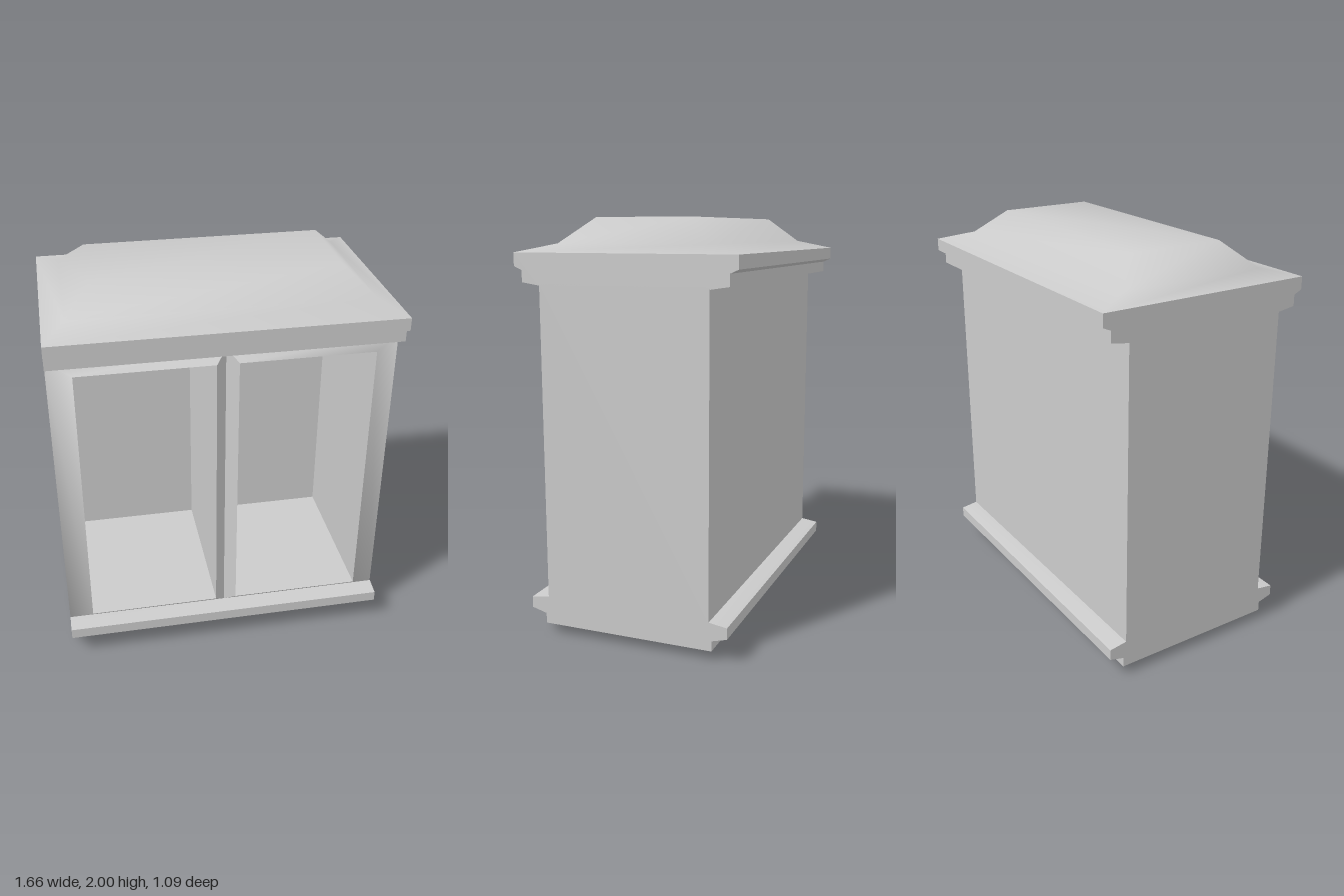
import * as THREE from 'three';
import { toCreasedNormals } from 'three/addons/utils/BufferGeometryUtils.js';

const material = new THREE.MeshStandardMaterial({ color: 0xcccccc });
const HALF = 0.83; // half width of the cabinet

// Joins rectangles [x0, x1, y0, y1, z] in order; caps close the first or last one.
function loft(rings, capStart, capEnd) {
  const pos = [], index = [];
  for (const [x0, x1, y0, y1, z] of rings) pos.push(x0, y0, z, x1, y0, z, x1, y1, z, x0, y1, z);
  for (let k = 0; k < rings.length - 1; k++) {
    for (let i = 0; i < 4; i++) {
      const a = k * 4 + i, b = k * 4 + (i + 1) % 4;
      index.push(a, b, b + 4, a, b + 4, a + 4);
    }
  }
  const e = (rings.length - 1) * 4;
  if (capStart) index.push(0, 2, 1, 0, 3, 2);
  if (capEnd) index.push(e, e + 1, e + 2, e, e + 2, e + 3);
  const g = new THREE.BufferGeometry();
  g.setAttribute('position', new THREE.Float32BufferAttribute(pos, 3));
  g.setIndex(index);
  g.computeVertexNormals();
  return g;
}

// Upright loft from [half width, half depth, height] levels
function stack(levels, capStart, capEnd) {
  return loft(levels.map(([w, d, y]) => [-w, w, -d, d, y]), capStart, capEnd).rotateX(-Math.PI / 2);
}

// Moulding with a mirrored [z, y] profile, running the full width
function moulding(profile) {
  const mirrored = profile.map(([z, y]) => [-z, y]).reverse();
  const shape = new THREE.Shape([...profile, ...mirrored].map(([z, y]) => new THREE.Vector2(z, y)));
  const g = new THREE.ExtrudeGeometry(shape, { depth: 2 * HALF, bevelEnabled: false });
  g.translate(0, 0, -HALF).rotateY(-Math.PI / 2);
  return toCreasedNormals(g, 0.9);
}

export function createModel() {
  const group = new THREE.Group();
  const add = (name, geometry) => {
    const mesh = new THREE.Mesh(geometry, material);
    mesh.name = name;
    group.add(mesh);
  };

  // Bevelled underside and base moulding
  add('baseBevel', stack([[0.72, 0.38, 0], [HALF, 0.43, 0.05]], true, false));
  add('baseMoulding', moulding([[0.43, 0.05], [0.43, 0.1], [0.505, 0.12], [0.505, 0.175], [0.42, 0.188]]));

  // Outer shell: sides and back, open at the front
  const bottom = 0.185, top = 1.7;
  const shell = [-0.415, 0.415].map(z => [-HALF, HALF, bottom, top, z]);
  add('shell', toCreasedNormals(loft(shell, true, false), 0.5));

  // Two open compartments, each with a raised sloping frame
  for (const side of [-1, 1]) {
    const rect = (a, b, y0, y1, z) => [Math.min(side * a, side * b), Math.max(side * a, side * b), y0, y1, z];
    const rings = [
      rect(0, HALF, bottom, top, 0.415),
      rect(0.053, 0.71, 0.24, 1.645, 0.47),
      rect(0.053, 0.71, 0.24, 1.645, -0.34),
    ];
    add(side > 0 ? 'leftCompartment' : 'rightCompartment', toCreasedNormals(loft(rings, false, true), 1.0));
  }

  // Stepped cornice and softly domed lid
  add('cornice', moulding([[0.42, 1.692], [0.505, 1.705], [0.505, 1.76], [0.545, 1.778], [0.545, 1.84]]));
  add('lid', stack([[HALF, 0.545, 1.84], [0.72, 0.375, 1.88], [0.59, 0.24, 2]], false, true));

  return group;
}
